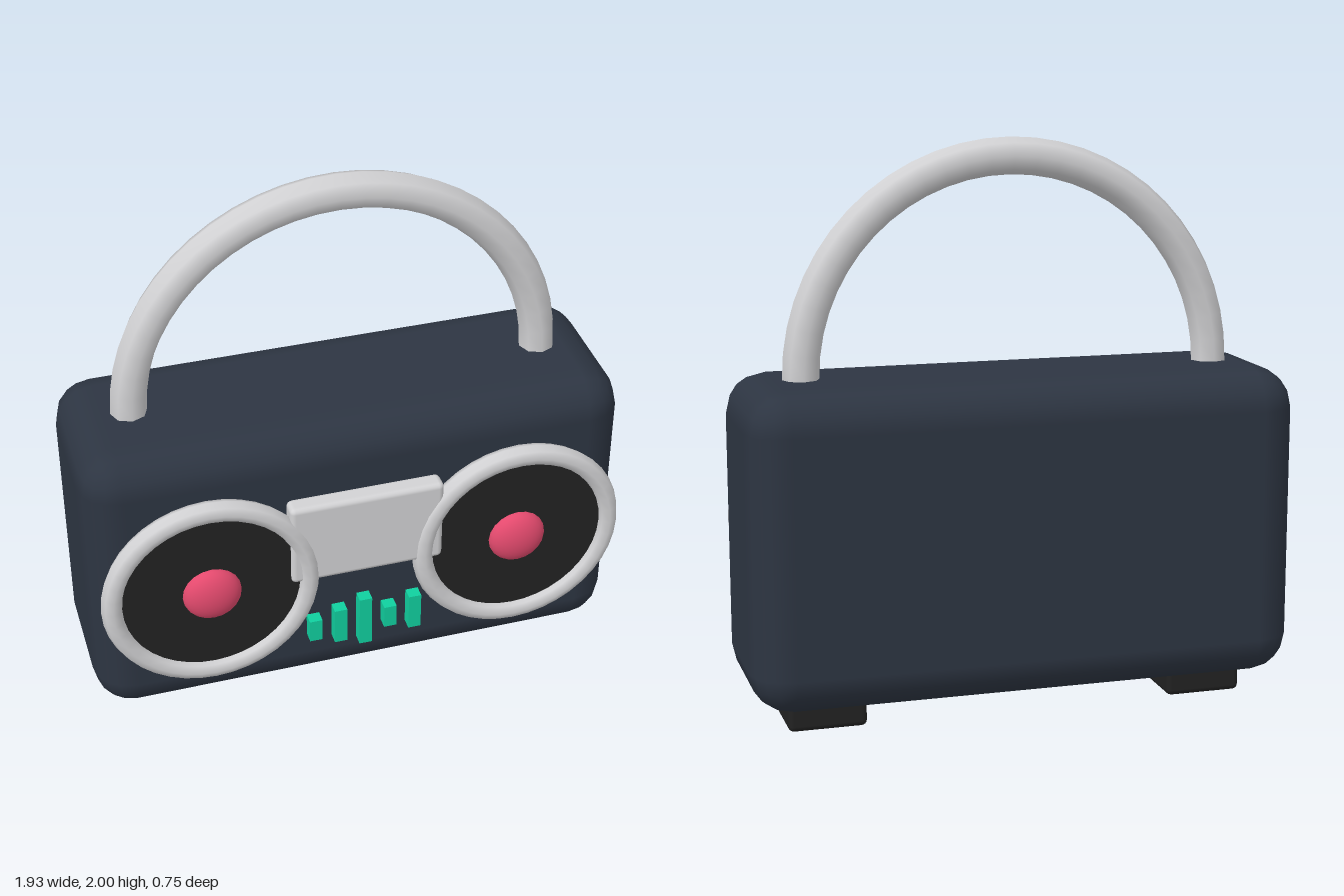
import * as THREE from 'three';
import { RoundedBoxGeometry } from 'three/addons/geometries/RoundedBoxGeometry.js';

const material = (name, color) => {
  const m = new THREE.MeshStandardMaterial({ color });
  m.name = name;
  return m;
};

export function createModel() {
  const navy = material('navy', 0x2d3542);
  const silver = material('silver', 0xd2d2d4);
  const black = material('black', 0x222222);
  const pink = material('pink', 0xe44a6e);
  const teal = material('teal', 0x10cf9f);

  const model = new THREE.Group();
  model.name = 'radio';
  const add = (name, geometry, mat, x, y, z, parent = model) => {
    const mesh = new THREE.Mesh(geometry, mat);
    mesh.name = name;
    mesh.position.set(x, y, z);
    parent.add(mesh);
    return mesh;
  };

  // Cabinet and arched carrying handle
  const midZ = -0.052;
  add('body', new RoundedBoxGeometry(1.93, 1.1, 0.645, 2, 0.14), navy, 0, 0.65, midZ);
  add('handle', new THREE.TorusGeometry(0.736, 0.064, 8, 28, Math.PI), silver, 0, 1.2, midZ);

  // Speakers and feet, mirrored left and right
  for (const side of [-1, 1]) {
    const speaker = new THREE.Group();
    speaker.name = side > 0 ? 'leftSpeaker' : 'rightSpeaker';
    speaker.position.set(side * 0.555, 0.65, 0);
    model.add(speaker);

    const cone = new THREE.CylinderGeometry(0.345, 0.345, 0.07, 40);
    cone.rotateX(Math.PI / 2);
    add('speakerCone', cone, black, 0, 0, 0.285, speaker);
    add('speakerRing', new THREE.TorusGeometry(0.348, 0.038, 8, 40), silver, 0, 0, 0.31, speaker);

    const dome = new THREE.SphereGeometry(0.104, 20, 8, 0, Math.PI * 2, 0, Math.PI / 2);
    dome.rotateX(Math.PI / 2);
    dome.scale(1, 1, 0.54);
    add('speakerDome', dome, pink, 0, 0, 0.319, speaker);

    add('foot', new RoundedBoxGeometry(0.275, 0.1, 0.275, 2, 0.02), black, side * 0.688, 0.05, midZ);
  }

  // Cassette panel between the speakers
  add('cassettePanel', new RoundedBoxGeometry(0.55, 0.325, 0.075, 2, 0.02), silver, 0, 0.79, 0.297);

  // Equaliser bars
  [0.09, 0.145, 0.205, 0.09, 0.145].forEach((height, i) => {
    add('equaliserBar', new THREE.BoxGeometry(0.046, height, 0.06), teal, (i - 2) * 0.092, 0.375, 0.285);
  });

  return model;
}
